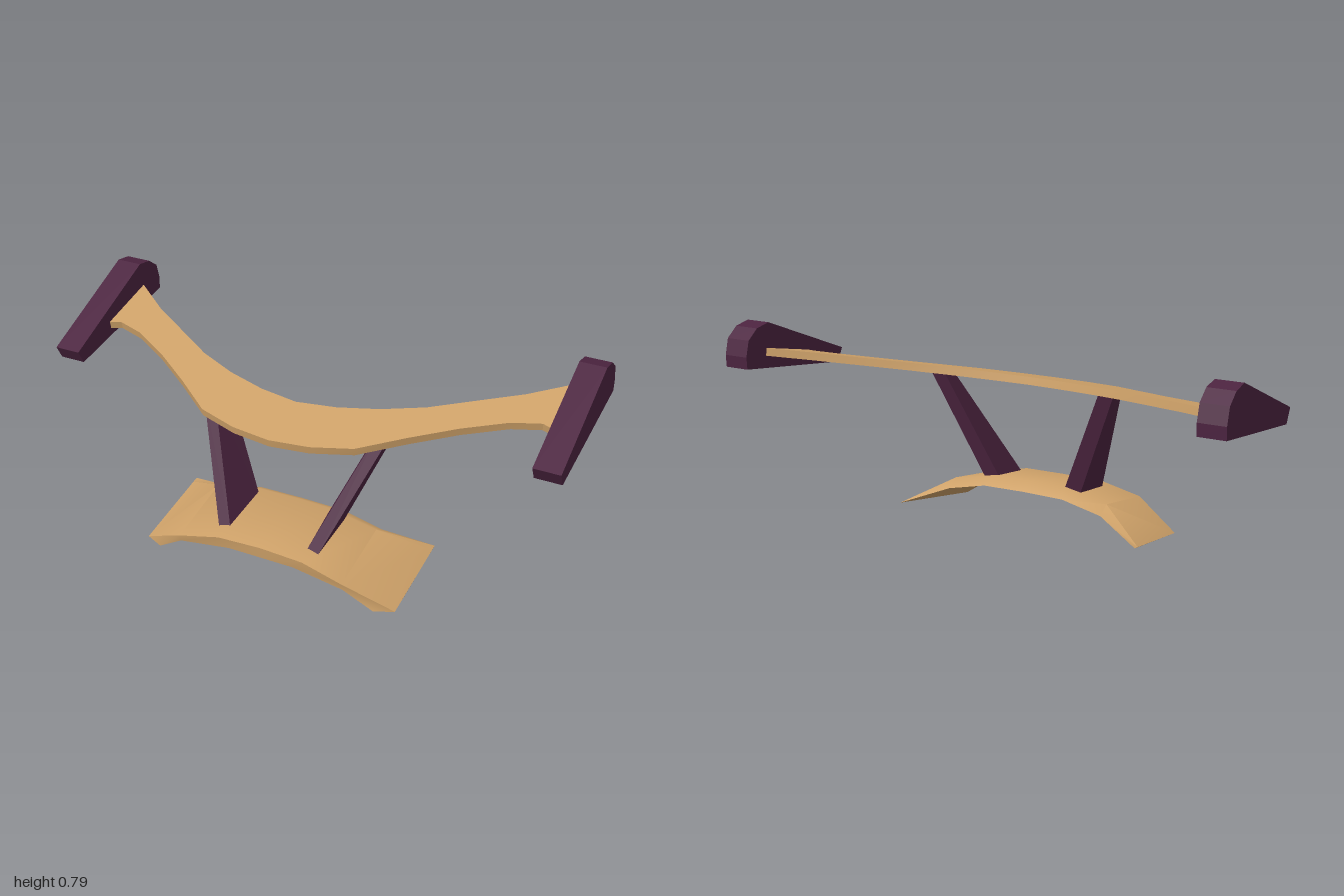
import * as THREE from 'three';
import { toCreasedNormals } from 'three/addons/utils/BufferGeometryUtils.js';

const tan = new THREE.MeshStandardMaterial({ name: 'tan', color: 0xcfa269 });
const plum = new THREE.MeshStandardMaterial({ name: 'plum', color: 0x4c2440 });

// Skin a row of equal-length point loops and close both ends
function loft(sections, crease) {
  const pos = [];
  const n = sections[0].length;
  const tri = (a, b, c) => pos.push(...a, ...b, ...c);
  for (let s = 0; s < sections.length - 1; s++) {
    const A = sections[s], B = sections[s + 1];
    for (let i = 0; i < n; i++) {
      const j = (i + 1) % n;
      tri(A[i], B[i], B[j]);
      tri(A[i], B[j], A[j]);
    }
  }
  const first = sections[0], last = sections[sections.length - 1];
  for (let i = 1; i < n - 1; i++) {
    tri(first[0], first[i], first[i + 1]);
    tri(last[0], last[i + 1], last[i]);
  }
  const g = new THREE.BufferGeometry();
  g.setAttribute('position', new THREE.Float32BufferAttribute(pos, 3));
  return toCreasedNormals(g, crease);
}

const flip = (p) => [-p[0], p[1], p[2]];

// Complete the sections of one half (centre first) with their mirror image
const mirrored = (half) => [...half.slice(1).reverse().map((loop) => loop.map(flip)), ...half];

export function createModel() {
  const group = new THREE.Group();
  const add = (name, geometry, material) => {
    const mesh = new THREE.Mesh(geometry, material);
    mesh.name = name;
    group.add(mesh);
  };

  // Main wing: tilted flat blade, swept back toward the tips [x, front z, back z]
  const plan = [
    [0, 0.33, 0.12], [0.15, 0.313, 0.098], [0.3, 0.268, 0.055], [0.45, 0.156, -0.008],
    [0.6, 0.053, -0.098], [0.75, -0.032, -0.187], [0.855, -0.064, -0.266], [0.91, -0.047, -0.307],
  ];
  const top = (z) => 0.628 - 0.217 * z;
  const wing = plan.map(([x, f, b]) => [
    [x, top(f), f], [x, top(b), b],
    [x, top(b) - 0.029, b - 0.006], [x, top(f) - 0.029, f - 0.006],
  ]);
  add('mainWing', loft(mirrored(wing), 0.5), tan);

  // Arched base: front top, rear crease, sharp trailing edge, front bottom
  const base = [
    [[0, 0.144, 0.405], [0, 0.194, 0.126], [0, 0.163, 0.075], [0, 0.1, 0.402]],
    [[0.17, 0.14, 0.41], [0.15, 0.19, 0.126], [0.17, 0.16, 0.075], [0.13, 0.1, 0.402]],
    [[0.33, 0.102, 0.417], [0.33, 0.154, 0.126], [0.33, 0.123, 0.075], [0.33, 0.075, 0.41]],
    [[0.51, 0.002, 0.355], [0.51, 0.053, 0.02], [0.51, 0.056, -0.005], [0.44, 0, 0.386]],
  ];
  add('base', loft(mirrored(base), 0.75), tan);

  // End plates: wedge profile with a rounded rear, as [z, y]
  const profile = [
    [0.168, 0.607], [-0.283, 0.789], [-0.35, 0.777], [-0.4, 0.739],
    [-0.417, 0.678], [-0.415, 0.632], [0.139, 0.553],
  ];
  for (const [name, x] of [['leftEndPlate', 0.9], ['rightEndPlate', -1]]) {
    const at = (px) => profile.map(([z, y]) => [px, y, z]);
    add(name, loft([at(x), at(x + 0.1)], 0.1), plum);
  }

  // Struts: tapering blades leaning outward and back
  const strut = [
    [[0.14, 0.172, 0.147], [0.21, 0.172, 0.147], [0.2, 0.136, 0.349], [0.152, 0.136, 0.349]],
    [[0.325, 0.588, 0.05], [0.385, 0.588, 0.05], [0.377, 0.572, 0.13], [0.33, 0.572, 0.13]],
  ];
  add('leftStrut', loft(strut, 0.1), plum);
  add('rightStrut', loft(strut.map((loop) => loop.map(flip).reverse()), 0.1), plum);

  return group;
}
